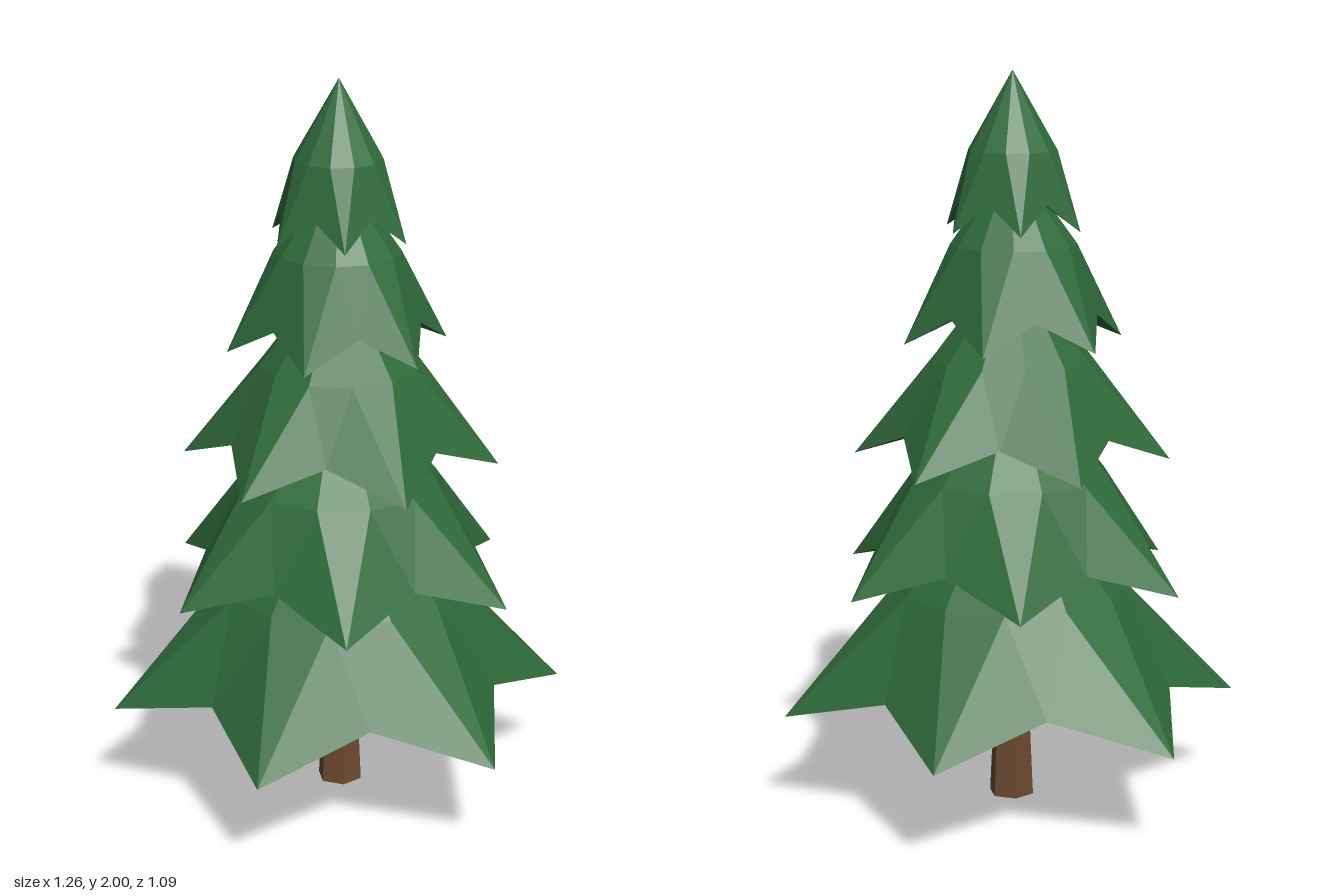
import * as THREE from 'three';

const POINTS = 6;

// Each tier: heights and radii of its tips, notches and shoulder; turn in degrees; small sideways offset
const TIERS = [
  { name: 'bottomBranches', apex: 1.0, shoulder: [0.32, 0.6], tip: [0.632, 0.26], notch: [0.45, 0.35], turn: 0, x: 0.002, z: 0 },
  { name: 'lowerBranches', apex: 1.25, shoulder: [0.27, 0.91], tip: [0.503, 0.62], notch: [0.37, 0.7], turn: 38.7, x: 0.017, z: 0.008 },
  { name: 'middleBranches', apex: 1.52, shoulder: [0.22, 1.23], tip: [0.43, 0.96], notch: [0.315, 1.04], turn: 17, x: 0.005, z: 0 },
  { name: 'upperBranches', apex: 1.78, shoulder: [0.17, 1.54], tip: [0.302, 1.28], notch: [0.23, 1.36], turn: -3, x: -0.005, z: 0 },
  { name: 'topBranches', apex: 2.0, shoulder: [0.12, 1.79], tip: [0.195, 1.58], notch: [0.15, 1.655], turn: 35.5, x: 0.002, z: 0.003 },
];

// A star-shaped skirt: cap, shoulder ring, jagged rim and a shallow hollow underside
function skirtGeometry({ apex, shoulder, tip, notch, turn, x, z }) {
  const n = POINTS * 2;
  const step = (Math.PI * 2) / n;
  const start = THREE.MathUtils.degToRad(turn);
  const at = ([r, y], k) => [
    x + r * Math.cos(start + k * step), y, z + r * Math.sin(start + k * step),
  ];
  const mid = (k) => at(shoulder, k - 0.5);
  const rim = (k) => at(k % 2 === 0 ? tip : notch, k);
  // the very top stays on the trunk axis
  const top = [0, apex, 0];
  const hollow = [0, notch[1] + 0.05, 0];

  const positions = [];
  const face = (...corners) => corners.forEach((c) => positions.push(...c));
  for (let k = 0; k < n; k++) {
    face(top, mid(k + 1), mid(k));
    face(mid(k), mid(k + 1), rim(k));
    face(mid(k + 1), rim(k + 1), rim(k));
    face(hollow, rim(k), rim(k + 1));
  }
  const geometry = new THREE.BufferGeometry();
  geometry.setAttribute('position', new THREE.Float32BufferAttribute(positions, 3));
  geometry.computeVertexNormals();
  return geometry;
}

export function createModel() {
  const tree = new THREE.Group();
  tree.name = 'pineTree';

  const bark = new THREE.MeshStandardMaterial({ color: 0x6b4a2e, flatShading: true });
  const needles = new THREE.MeshStandardMaterial({ color: 0x2f6b3a, flatShading: true });

  // Six-sided tapering trunk
  const trunk = new THREE.Mesh(new THREE.CylinderGeometry(0.035, 0.063, 0.6, 6), bark);
  trunk.name = 'trunk';
  trunk.position.set(0.004, 0.3, 0);
  tree.add(trunk);

  // Stacked branch tiers
  for (const tier of TIERS) {
    const skirt = new THREE.Mesh(skirtGeometry(tier), needles);
    skirt.name = tier.name;
    tree.add(skirt);
  }
  return tree;
}
